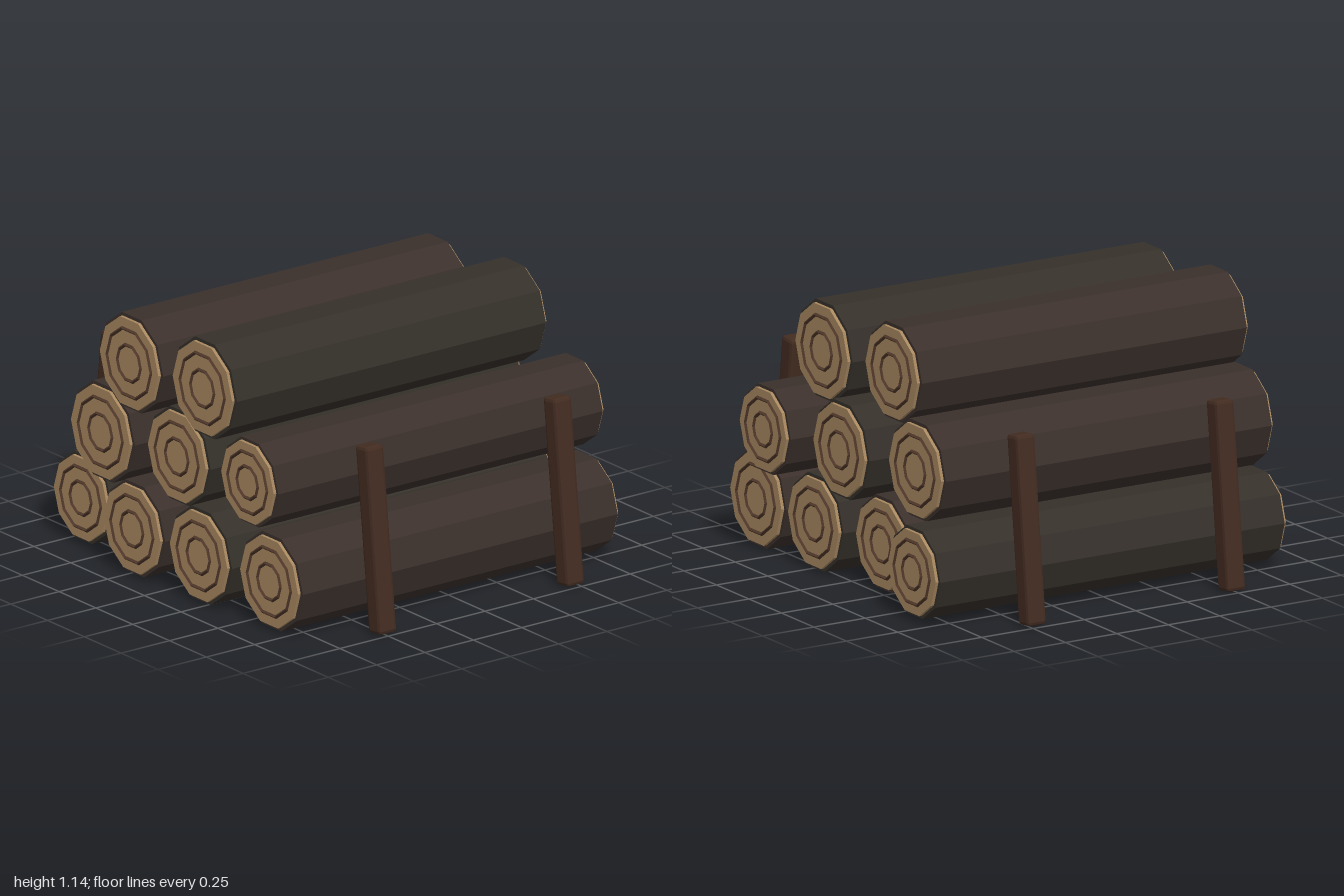
import * as THREE from 'three';
import { RoundedBoxGeometry } from 'three/addons/geometries/RoundedBoxGeometry.js';

const mat = (color) => new THREE.MeshStandardMaterial({ color, flatShading: true });
const SIDES = 10;

export function createModel() {
  const model = new THREE.Group();
  model.name = 'logPile';
  const barks = [mat(0x3b302b), mat(0x35302a)];
  const wood = mat(0xa88860);
  const ring = mat(0x50372a);
  const stake = mat(0x432c21);
  const moss = mat(0x5c7a3e);

  const add = (parent, name, geometry, material) => {
    const mesh = new THREE.Mesh(geometry, material);
    mesh.name = name;
    parent.add(mesh);
    return mesh;
  };

  // Logs: centre z, centre y, left end x, right end x, radius
  const logs = [
    [0.64, 0.213, -0.85, 0.82, 0.212],
    [0.213, 0.213, -0.89, 0.81, 0.21],
    [-0.213, 0.213, -0.91, 0.75, 0.207],
    [-0.64, 0.213, -0.85, 0.87, 0.197],
    [0.427, 0.575, -0.8, 0.92, 0.192],
    [0, 0.575, -0.84, 0.82, 0.212],
    [-0.427, 0.575, -0.91, 0.72, 0.216],
    [0.213, 0.94, -0.87, 0.77, 0.217],
    [-0.213, 0.94, -0.925, 0.7, 0.214],
  ];
  logs.forEach(([z, y, x0, x1, r], i) => {
    const log = new THREE.Group();
    log.name = 'log' + (i + 1);
    log.position.set((x0 + x1) / 2, y, z);
    model.add(log);
    const half = (x1 - x0) / 2 - 0.022;

    // Bark, with flat facets on top and bottom
    const bark = new THREE.CylinderGeometry(r, r, half * 2, SIDES).rotateZ(Math.PI / 2);
    add(log, 'bark', bark, barks[i % 2]);

    // Sawn ends with raised growth rings
    for (const side of [-1, 1]) {
      const cap = new THREE.CylinderGeometry(r * 0.93, r * 0.93, 0.02, SIDES).rotateZ(Math.PI / 2);
      add(log, 'sawnEnd', cap, wood).position.x = side * (half + 0.004);
      for (const f of [0.7, 0.37]) {
        const growth = new THREE.TorusGeometry(r * f, 0.01, 4, SIDES).rotateY(Math.PI / 2);
        add(log, 'growthRing', growth, ring).position.x = side * (half + 0.012);
      }
    }
  });

  // Leaning stakes holding the pile at front and back
  for (const side of [-1, 1]) {
    for (const x of [-0.495, 0.475]) {
      const post = add(model, 'stake', new RoundedBoxGeometry(0.09, 0.8, 0.085, 1, 0.015), stake);
      post.position.set(x, 0.405, side * 0.911);
      post.rotation.x = -side * 0.115;
    }
  }

  // Moss tuft wedged between the top logs
  const tuft = add(model, 'moss', new THREE.IcosahedronGeometry(1, 0), moss);
  tuft.scale.set(0.14, 0.035, 0.06);
  tuft.position.set(0.15, 1.005, -0.005);

  return model;
}
